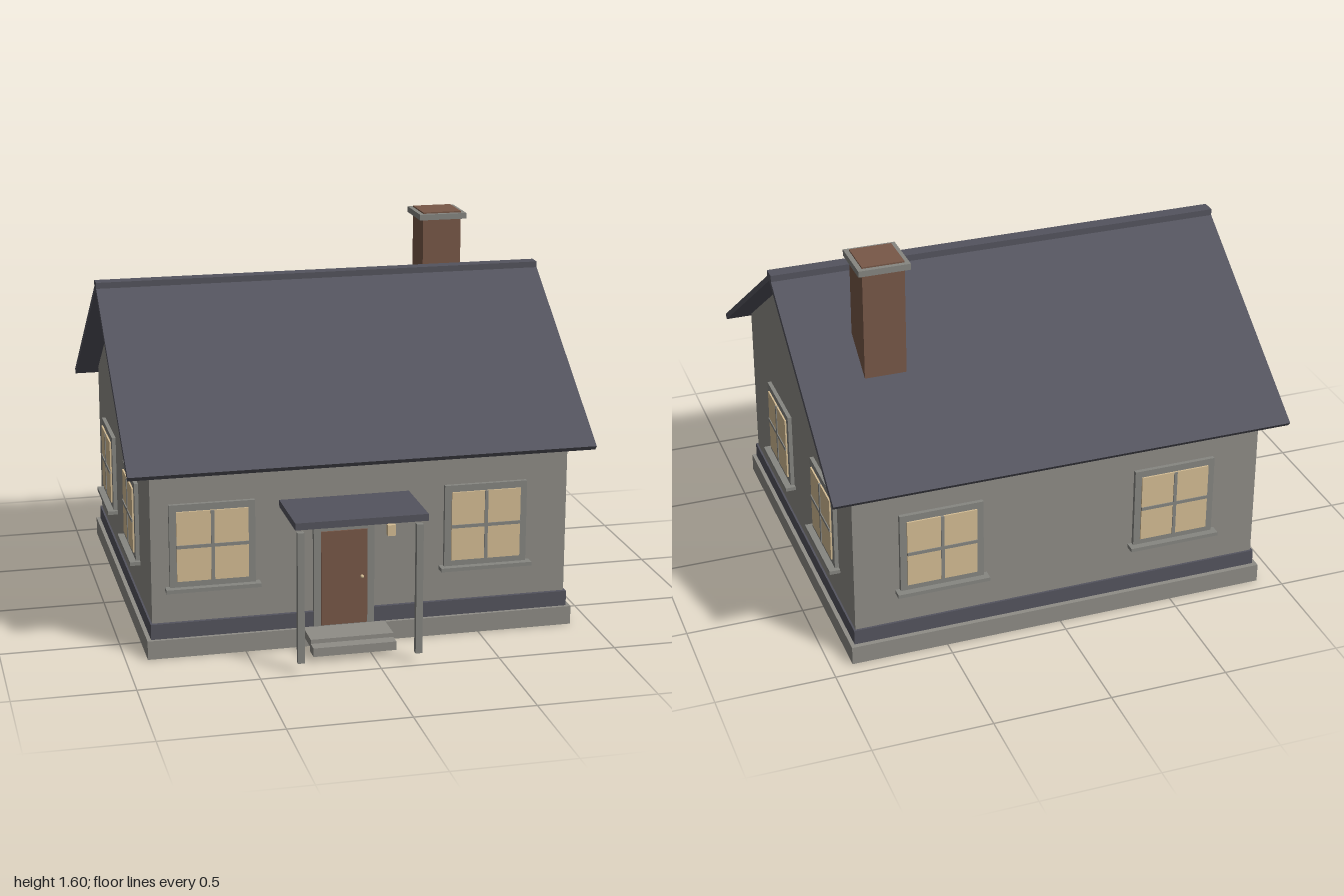
import * as THREE from 'three';

const mat = (name, color) => {
  const m = new THREE.MeshStandardMaterial({ color });
  m.name = name;
  return m;
};

export function createModel() {
  const wall = mat('wallGrey', 0x8f8d87);
  const trim = mat('trimGrey', 0x868681);
  const slate = mat('slate', 0x54545e);
  const brick = mat('brickBrown', 0x785848);
  const glass = mat('warmGlass', 0xd6be95);

  const house = new THREE.Group();
  house.name = 'house';
  const Z0 = -0.12; // ridge line of the house

  const add = (name, geometry, material, parent = house) => {
    const mesh = new THREE.Mesh(geometry, material);
    mesh.name = name;
    parent.add(mesh);
    return mesh;
  };

  // Box given by its limits on each axis
  const box = (name, material, [x0, x1], [y0, y1], [z0, z1], parent) => {
    const g = new THREE.BoxGeometry(x1 - x0, y1 - y0, z1 - z0);
    g.translate((x0 + x1) / 2, (y0 + y1) / 2, (z0 + z1) / 2);
    return add(name, g, material, parent);
  };

  // Prism along x from a [z, y] outline
  const prism = (name, material, outline, half) => {
    const shape = new THREE.Shape(outline.map(([z, y]) => new THREE.Vector2(z, y)));
    const g = new THREE.ExtrudeGeometry(shape, { depth: 2 * half, bevelEnabled: false });
    g.rotateY(-Math.PI / 2).translate(half, 0, 0);
    return add(name, g, material);
  };

  // Body
  box('foundation', wall, [-0.91, 0.91], [0, 0.08], [-0.938, 0.698]);
  box('baseBand', slate, [-0.893, 0.893], [0.08, 0.145], [-0.917, 0.683]);
  box('walls', wall, [-0.885, 0.885], [0.145, 0.83], [-0.907, 0.667]);
  prism('gables', wall, [[Z0 - 0.787, 0.83], [Z0 + 0.787, 0.83], [Z0, 1.375]], 0.885);

  // Roof: two sloping slabs and a ridge cap
  for (const s of [1, -1]) {
    const half = [[0, 1.378], [0.861, 0.785], [0.877, 0.804], [0, 1.407]];
    prism(s > 0 ? 'frontRoofSlope' : 'backRoofSlope', slate,
      half.map(([u, y]) => [Z0 - 0.003 + s * u, y]), 0.983);
  }
  box('ridgeCap', slate, [-0.983, 0.983], [1.385, 1.413], [-0.154, -0.094]);

  // Chimney with a collar near its top
  const cx = 0.628, cz = -0.479;
  box('chimney', brick, [cx - 0.088, cx + 0.088], [0.95, 1.597], [cz - 0.088, cz + 0.088]);
  box('chimneyCollar', trim, [cx - 0.108, cx + 0.108], [1.565, 1.591], [cz - 0.108, cz + 0.108]);

  // Window facing +z, its origin on the wall surface
  const addWindow = (x, z, turn, w, y0, y1) => {
    const g = new THREE.Group();
    g.name = 'window';
    const b = 0.029, mid = (y0 + y1) / 2;
    box('windowFrame', trim, [-w, w], [y0, y1], [-0.005, 0.017], g);
    box('windowPane', glass, [-w + b, w - b], [y0 + b, y1 - b], [0.016, 0.024], g);
    box('verticalBar', trim, [-0.007, 0.007], [y0 + b, y1 - b], [0.017, 0.028], g);
    box('crossBar', trim, [-w + b, w - b], [mid - 0.007, mid + 0.007], [0.017, 0.028], g);
    box('windowSill', trim, [-w - 0.019, w + 0.019], [y0 - 0.013, y0 + 0.003], [-0.005, 0.045], g);
    g.position.set(x, 0, z);
    g.rotation.y = turn;
    house.add(g);
  };
  for (const x of [-0.632, 0.528]) addWindow(x, 0.667, 0, 0.178, 0.297, 0.653);
  for (const x of [-0.505, 0.515]) addWindow(x, -0.907, Math.PI, 0.178, 0.297, 0.653);
  for (const s of [1, -1])
    for (const z of [0.176, -0.515]) addWindow(s * 0.885, z, s * Math.PI / 2, 0.171, 0.306, 0.647);

  // Door
  box('doorFrame', trim, [-0.21, 0.048], [0.08, 0.533], [0.66, 0.686]);
  box('door', brick, [-0.18, 0.017], [0.085, 0.495], [0.67, 0.693]);
  const knob = add('doorKnob', new THREE.SphereGeometry(0.008, 12, 8), glass);
  knob.position.set(-0.007, 0.29, 0.698);

  // Porch: canopy, posts and steps
  box('porchCanopy', slate, [-0.355, 0.192], [0.618, 0.647], [0.69, 1.0]);
  for (const x of [-0.327, 0.164])
    box('porchPost', trim, [x - 0.014, x + 0.014], [0.042, 0.597], [0.953, 0.978]);
  box('upperStep', wall, [-0.255, 0.095], [0.045, 0.08], [0.69, 0.828]);
  box('lowerStep', wall, [-0.255, 0.095], [0.025, 0.062], [0.815, 0.88]);

  // Wall lamp
  box('lampBracket', trim, [0.104, 0.126], [0.475, 0.5], [0.66, 0.695]);
  box('lamp', glass, [0.098, 0.132], [0.464, 0.511], [0.692, 0.717]);

  return house;
}
